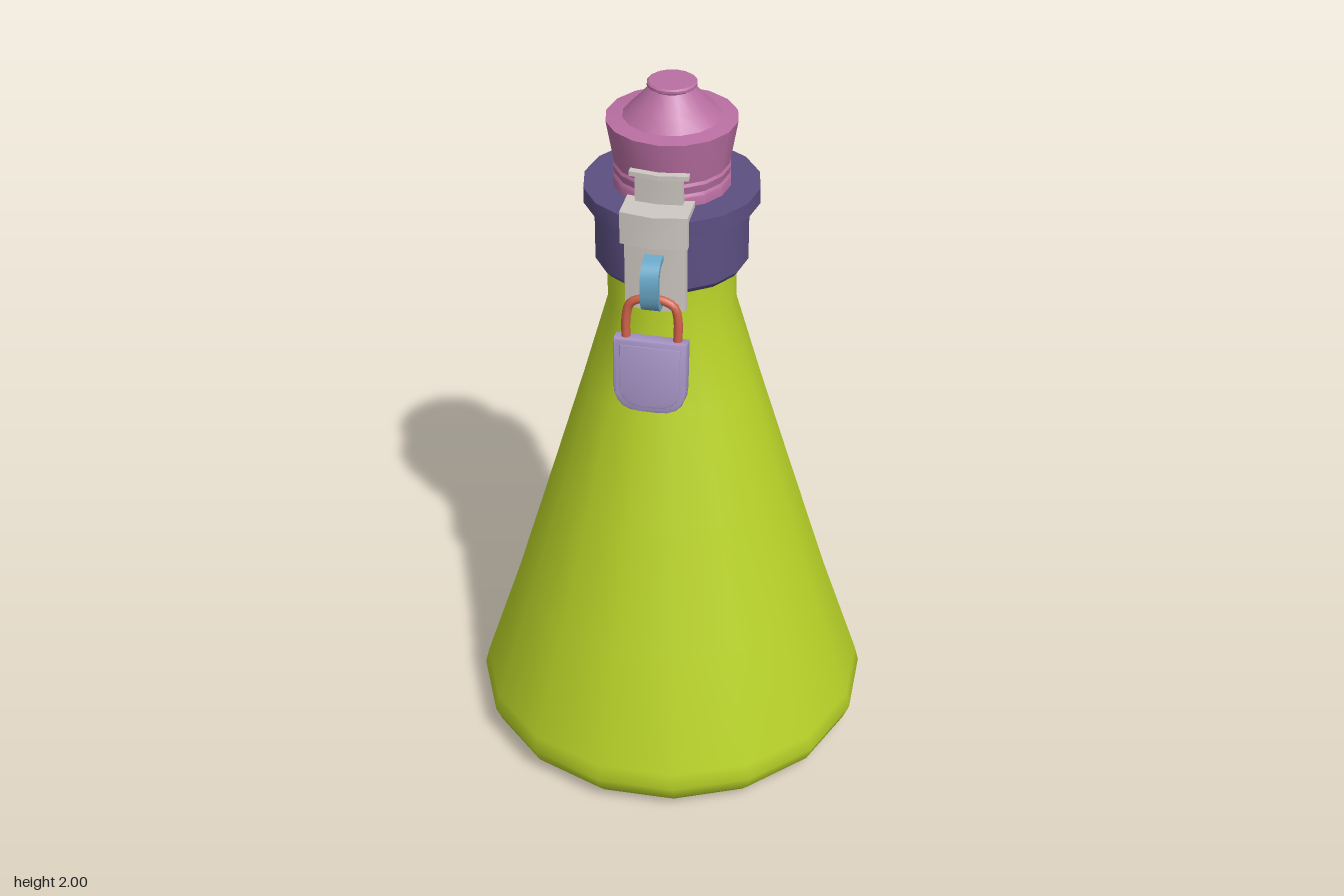
import * as THREE from 'three';
import { toCreasedNormals } from 'three/addons/utils/BufferGeometryUtils.js';

const mat = (color) => new THREE.MeshStandardMaterial({ color });
const GREEN = mat(0xb8d228), PURPLE = mat(0x5c4f82), PINK = mat(0xb96fa2);
const METAL = mat(0xcfc9c2), BLUE = mat(0x6aa8c8), RED = mat(0xcc6048), LILAC = mat(0xa593c4);
const v2 = (p) => p.map(([x, y]) => new THREE.Vector2(x, y));

export function createModel() {
  const model = new THREE.Group();
  model.name = 'lockedFlask';

  const add = (name, geo, material, parent = model) => {
    const mesh = new THREE.Mesh(geo, material);
    mesh.name = name;
    parent.add(mesh);
    return mesh;
  };

  // Sixteen-sided turned part, profile listed from bottom to top
  const turn = (name, profile, material, phi = 0, crease = 0.6) =>
    add(name, toCreasedNormals(new THREE.LatheGeometry(v2(profile), 16, phi), crease), material);

  turn('flaskBody', [
    [0, 0], [0.47, 0], [0.51, 0.012], [0.54, 0.045], [0.558, 0.09], [0.547, 0.135],
    [0.44, 0.46], [0.335, 0.81], [0.24, 1.13], [0.172, 1.37], [0.172, 1.52], [0, 1.52],
  ], GREEN, THREE.MathUtils.degToRad(12.3), 0.9);

  turn('collar', [
    [0.16, 1.488], [0.192, 1.488], [0.205, 1.505], [0.205, 1.67], [0.233, 1.672],
    [0.233, 1.716], [0.14, 1.716],
  ], PURPLE);

  turn('stopper', [
    [0.155, 1.70], [0.155, 1.742], [0.15, 1.75], [0.155, 1.772], [0.151, 1.78],
    [0.172, 1.9], [0.128, 1.906], [0.095, 1.94], [0.058, 1.984], [0.065, 1.989],
    [0.065, 1.996], [0.06, 2], [0, 2],
  ], PINK);

  // Extrudes a (z, y) side profile across x
  const across = (shape, halfWidth, steps) => {
    const geo = new THREE.ExtrudeGeometry(shape, {
      depth: 2 * halfWidth, steps, bevelEnabled: false, curveSegments: 6,
    });
    geo.translate(0, 0, -halfWidth).rotateY(-Math.PI / 2);
    return geo;
  };

  // Metal clasp: plates bent around the neck
  const clasp = new THREE.Group();
  clasp.name = 'clasp';
  model.add(clasp);
  const bentPlate = (name, profile, halfWidth) => {
    const geo = across(new THREE.Shape(v2(profile)), halfWidth, 2);
    const p = geo.attributes.position;
    for (let i = 0; i < p.count; i++) p.setZ(i, p.getZ(i) - 2 * p.getX(i) ** 2);
    add(name, toCreasedNormals(geo, 0.5), METAL, clasp);
  };
  bentPlate('claspLip', [[0.158, 1.805], [0.178, 1.805], [0.178, 1.818], [0.158, 1.818]], 0.077);
  bentPlate('claspTab', [[0.152, 1.72], [0.172, 1.72], [0.176, 1.815], [0.158, 1.815]], 0.062);
  bentPlate('claspBand', [
    [0.152, 1.718], [0.226, 1.718], [0.226, 1.645], [0.246, 1.645], [0.246, 1.735], [0.152, 1.735],
  ], 0.088);
  bentPlate('claspPlate', [[0.204, 1.45], [0.224, 1.45], [0.228, 1.66], [0.208, 1.66]], 0.08);

  // Staple that holds the padlock
  const staple = new THREE.Shape();
  staple.moveTo(0.215, 1.62);
  staple.lineTo(0.25, 1.615);
  staple.bezierCurveTo(0.275, 1.61, 0.29, 1.585, 0.29, 1.55);
  staple.bezierCurveTo(0.29, 1.51, 0.28, 1.475, 0.25, 1.472);
  staple.lineTo(0.215, 1.472);
  staple.lineTo(0.215, 1.49);
  staple.lineTo(0.248, 1.49);
  staple.bezierCurveTo(0.265, 1.495, 0.272, 1.515, 0.272, 1.55);
  staple.bezierCurveTo(0.272, 1.575, 0.262, 1.598, 0.245, 1.6);
  staple.lineTo(0.215, 1.602);
  add('staple', toCreasedNormals(across(staple, 0.024, 1), 0.6), BLUE);

  // Padlock, hanging slightly tilted outward
  const padlock = new THREE.Group();
  padlock.name = 'padlock';
  padlock.position.set(0, 1.388, 0.257);
  padlock.rotation.x = -0.1;
  model.add(padlock);

  // Outline with square top corners and a rounded bottom
  const lockShape = (w, top, bottom, r) => {
    const s = new THREE.Shape();
    s.moveTo(-w, top);
    s.lineTo(-w, bottom + r);
    s.quadraticCurveTo(-w, bottom, -w + r, bottom);
    s.lineTo(w - r, bottom);
    s.quadraticCurveTo(w, bottom, w, bottom + r);
    s.lineTo(w, top);
    return s;
  };
  const slab = (name, shape, depth, bevel) => {
    const geo = new THREE.ExtrudeGeometry(shape, {
      depth, bevelThickness: bevel, bevelSize: bevel, bevelSegments: 2, curveSegments: 5,
    });
    geo.translate(0, 0, -depth / 2);
    add(name, toCreasedNormals(geo, 0.6), LILAC, padlock);
  };
  slab('lockBody', lockShape(0.089, -0.008, -0.2, 0.065), 0.03, 0.008);
  slab('lockFacePanel', lockShape(0.077, -0.02, -0.188, 0.058), 0.044, 0.004);

  // U-shaped shackle
  const bow = [[-0.068, -0.02], [-0.068, 0.06], [-0.058, 0.095], [-0.03, 0.11], [0, 0.113],
    [0.03, 0.11], [0.058, 0.095], [0.068, 0.06], [0.068, -0.02]];
  const path = new THREE.CatmullRomCurve3(bow.map(([x, y]) => new THREE.Vector3(x, y, 0)));
  add('shackle', new THREE.TubeGeometry(path, 28, 0.012, 8), RED, padlock);

  return model;
}
